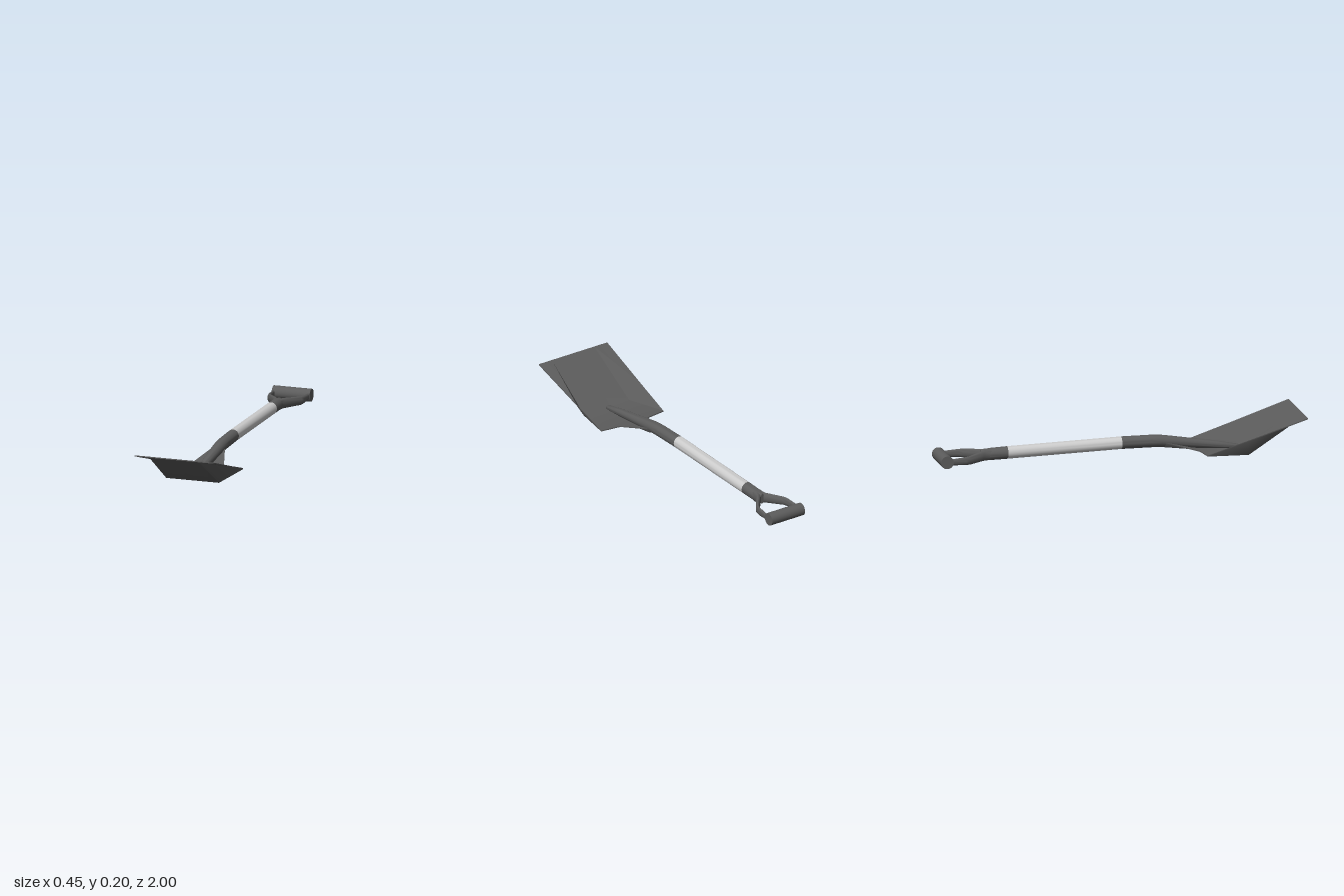
import * as THREE from 'three';
import { toCreasedNormals } from 'three/addons/utils/BufferGeometryUtils.js';

const dark = new THREE.MeshStandardMaterial({ color: 0x5c5c5c });
const light = new THREE.MeshStandardMaterial({ color: 0xcccccc });
const darkThin = dark.clone();
darkThin.side = THREE.DoubleSide;

function buildGeometry(positions, index) {
  const g = new THREE.BufferGeometry();
  g.setAttribute('position', new THREE.Float32BufferAttribute(positions, 3));
  g.setIndex(index);
  return toCreasedNormals(g, 0.75);
}

// Elliptical rings [z, x, y, rx, ry], ordered from back to front, with closed ends
function loft(rings, sides = 24) {
  const pos = [], index = [];
  for (const [z, x, y, rx, ry] of rings) {
    for (let i = 0; i < sides; i++) {
      const a = (i / sides) * Math.PI * 2;
      pos.push(x + rx * Math.cos(a), y + ry * Math.sin(a), z);
    }
  }
  for (let r = 0; r < rings.length - 1; r++) {
    for (let i = 0; i < sides; i++) {
      const j = (i + 1) % sides;
      const a = r * sides + i, b = r * sides + j;
      index.push(a, b, b + sides, a, b + sides, a + sides);
    }
  }
  const last = (rings.length - 1) * sides;
  for (let i = 1; i < sides - 1; i++) {
    index.push(0, i + 1, i, last, last + i, last + i + 1);
  }
  return buildGeometry(pos, index);
}

// Thin sheet from mirrored cross-sections, with an underside and a rim
function bladeGeometry() {
  // Each row: points [x, y, z] from outer edge to centre
  const rows = [
    [[0.225, 0.203, 1], [0.14, 0.203, 1], [0.03, 0.203, 1], [0, 0.203, 1]],
    [[0.213, 0.094, 0.67], [0.15, 0.006, 0.69], [0.03, 0.006, 0.69], [0, 0.006, 0.69]],
    [[0.205, 0.023, 0.45], [0.09, 0.023, 0.435], [0.03, 0.021, 0.435], [0, 0.02, 0.435]],
    [[0.036, 0.065, 0.26], [0.036, 0.065, 0.26], [0.022, 0.042, 0.26], [0, 0.036, 0.26]],
  ];
  const cols = 7, thickness = 0.006, top = [], tris = [];
  for (const row of rows) {
    for (let c = 0; c < cols; c++) {
      const [x, y, z] = row[c < 4 ? c : 6 - c];
      top.push(c < 4 ? -x : x, y, z);
    }
  }
  for (let r = 0; r < 3; r++) {
    const skip = r === 2 ? 1 : 0; // the neck uses only the inner columns
    for (let c = skip; c < cols - 1 - skip; c++) {
      const a = r * cols + c, b = a + 1, d = a + cols, e = d + 1;
      if (c < 3) tris.push([a, b, d], [b, e, d]);
      else tris.push([a, b, e], [a, e, d]);
    }
  }
  const n = rows.length * cols;
  const pos = [...top, ...top.map((v, i) => (i % 3 === 1 ? v - thickness : v))];
  const index = [], edges = new Set();
  for (const [a, b, c] of tris) {
    index.push(a, b, c, a + n, c + n, b + n);
    for (const [p, q] of [[a, b], [b, c], [c, a]]) edges.add(`${p},${q}`);
  }
  for (const key of edges) {
    const [p, q] = key.split(',').map(Number);
    if (!edges.has(`${q},${p}`)) index.push(p, p + n, q + n, p, q + n, q);
  }
  return buildGeometry(pos, index);
}

export function createModel() {
  const model = new THREE.Group();
  model.name = 'shovel';
  const add = (name, geometry, material = dark) => {
    const mesh = new THREE.Mesh(geometry, material);
    mesh.name = name;
    model.add(mesh);
    return mesh;
  };

  add('blade', bladeGeometry(), darkThin);

  // Socket tapers down onto the blade and ends in a rounded tip
  add('socket', loft([
    [0.02, 0, 0.07, 0.033, 0.034],
    [0.18, 0, 0.07, 0.033, 0.034],
    [0.24, 0, 0.068, 0.033, 0.033],
    [0.3, 0, 0.061, 0.031, 0.031],
    [0.55, 0, 0.029, 0.021, 0.022],
    [0.665, 0, 0.014, 0.016, 0.014],
    [0.676, 0, 0.012, 0.013, 0.01],
    [0.681, 0, 0.011, 0.006, 0.005],
  ]));

  add('shaft', loft([
    [-0.61, 0, 0.052, 0.033, 0.034],
    [0.02, 0, 0.07, 0.033, 0.034],
  ]), light);

  // Handle: collar, two fork arms and a cross grip
  add('handleCollar', loft([
    [-0.755, 0, 0.046, 0.012, 0.028],
    [-0.735, 0, 0.047, 0.03, 0.031],
    [-0.7, 0, 0.049, 0.033, 0.033],
    [-0.61, 0, 0.052, 0.033, 0.034],
  ]));
  for (const [name, s] of [['leftForkArm', 1], ['rightForkArm', -1]]) {
    add(name, loft([
      [-0.955, s * 0.1, 0.039, 0.007, 0.016],
      [-0.86, s * 0.093, 0.041, 0.01, 0.022],
      [-0.835, s * 0.086, 0.042, 0.013, 0.024],
      [-0.745, s * 0.017, 0.046, 0.018, 0.029],
      [-0.7, s * 0.013, 0.049, 0.018, 0.029],
    ], 16));
  }
  const grip = add('grip', new THREE.CylinderGeometry(0.035, 0.035, 0.216, 28));
  grip.rotation.z = Math.PI / 2;
  grip.position.set(0, 0.04, -0.965);

  return model;
}
